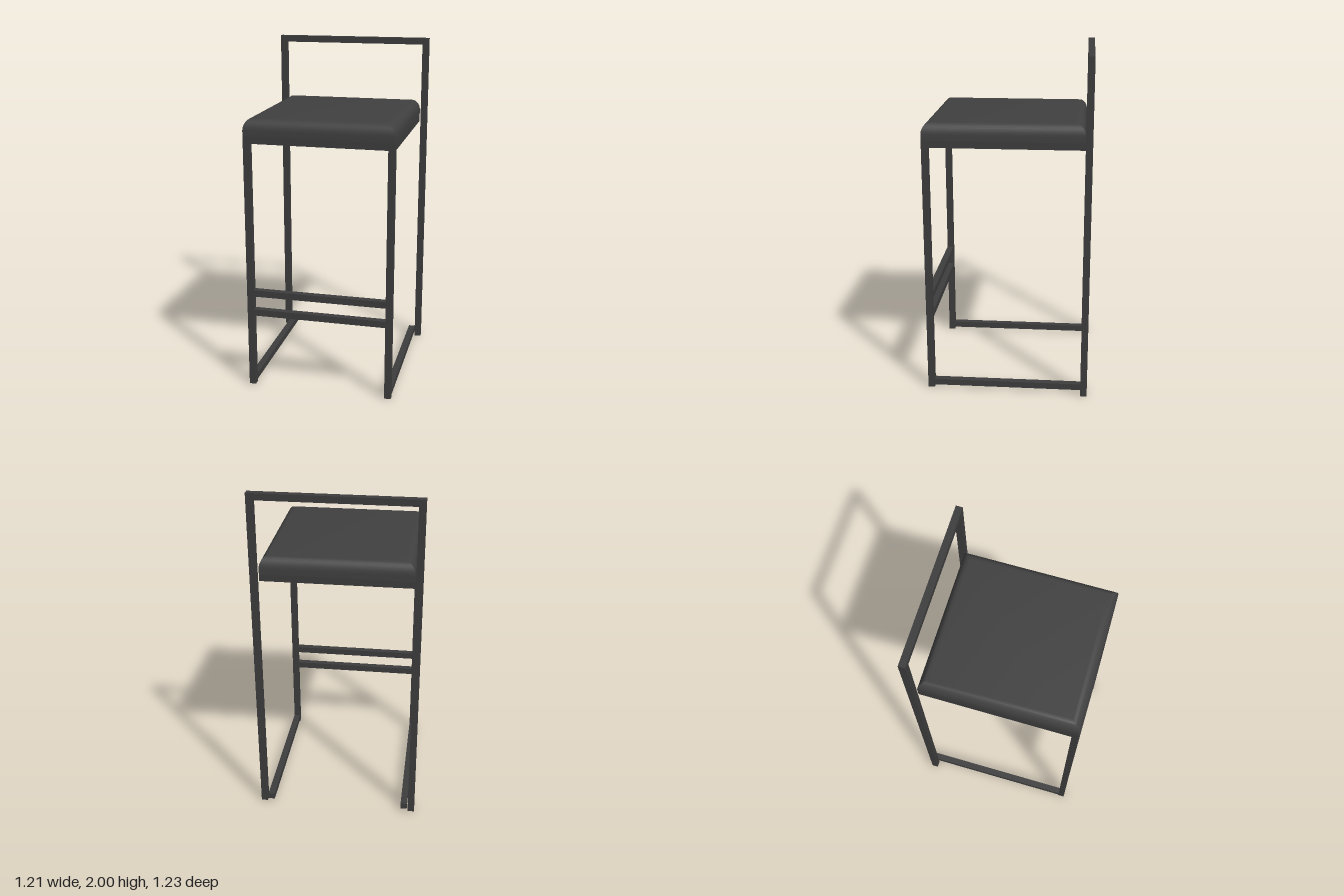
import * as THREE from 'three';
import { toCreasedNormals } from 'three/addons/utils/BufferGeometryUtils.js';

const T = 0.039;                        // bar thickness
const SEAT_X = 0.4325, FRONT = 0.488;   // seat half width, front plane
const BACK_X = 0.477, BACK = -0.467;    // back frame half width, back plane
const SEAT_BACK = BACK + T;
const RAIL_Y = 1.482, SEAT_Y = 1.522, TOP_Y = 1.624;

// Cushion: stacked rectangles that draw in along a rounded top edge
function cushionGeometry() {
  const r = 0.054, rv = 0.07, steps = 8;
  const ring = (inset, y) => [
    [-SEAT_X + inset, y, FRONT - inset], [SEAT_X - inset, y, FRONT - inset],
    [SEAT_X - inset, y, SEAT_BACK + inset], [-SEAT_X + inset, y, SEAT_BACK + inset],
  ];
  const rings = [ring(0, SEAT_Y)];
  for (let i = 0; i <= steps; i++) {
    const a = (i / steps) * Math.PI / 2;
    rings.push(ring(r * (1 - Math.cos(a)), TOP_Y - rv + rv * Math.sin(a)));
  }
  const pos = [];
  const quad = (a, b, c, d) => pos.push(...a, ...b, ...c, ...a, ...c, ...d);
  for (let i = 0; i < rings.length - 1; i++) {
    for (let k = 0; k < 4; k++) {
      const n = (k + 1) % 4;
      quad(rings[i][k], rings[i][n], rings[i + 1][n], rings[i + 1][k]);
    }
  }
  quad(...rings[rings.length - 1]);
  quad(...rings[0].slice().reverse());
  const g = new THREE.BufferGeometry();
  g.setAttribute('position', new THREE.Float32BufferAttribute(pos, 3));
  return toCreasedNormals(g, 0.6);
}

export function createModel() {
  const metal = new THREE.MeshStandardMaterial({ color: 0x3d3d3d });
  metal.name = 'charcoal metal';
  const fabric = new THREE.MeshStandardMaterial({ color: 0x404040 });
  fabric.name = 'charcoal upholstery';

  const stool = new THREE.Group();
  stool.name = 'stool';

  // Bar spanning two opposite corners
  const bar = (name, x0, x1, y0, y1, z0, z1) => {
    const m = new THREE.Mesh(new THREE.BoxGeometry(x1 - x0, y1 - y0, z1 - z0), metal);
    m.position.set((x0 + x1) / 2, (y0 + y1) / 2, (z0 + z1) / 2);
    m.name = name;
    stool.add(m);
  };
  // Bar mirrored to both sides
  const pair = (name, x0, x1, ...rest) => {
    bar(name + 'Left', x0, x1, ...rest);
    bar(name + 'Right', -x1, -x0, ...rest);
  };

  const inner = SEAT_X - T;
  pair('frontLeg', inner, SEAT_X, 0, RAIL_Y, FRONT - T, FRONT);
  pair('backPost', BACK_X - T, BACK_X, 0, 2, BACK, SEAT_BACK);
  pair('floorRunner', inner, SEAT_X, 0.016, 0.053, BACK, FRONT - T);
  pair('seatSideRail', inner, SEAT_X, RAIL_Y, SEAT_Y, SEAT_BACK, FRONT);

  bar('seatFrontRail', -inner, inner, RAIL_Y, SEAT_Y, FRONT - T, FRONT);
  bar('seatBackRail', -inner, inner, RAIL_Y, SEAT_Y, SEAT_BACK, SEAT_BACK + T);
  bar('backrestTopBar', -BACK_X + T, BACK_X - T, 2 - T, 2, BACK, SEAT_BACK);
  for (const [name, y] of [['lowerFootrest', 0.447], ['upperFootrest', 0.567]]) {
    bar(name, -inner, inner, y, y + T, FRONT - T, FRONT);
  }

  const cushion = new THREE.Mesh(cushionGeometry(), fabric);
  cushion.name = 'seatCushion';
  stool.add(cushion);

  // The stool stands turned an eighth of a half circle
  stool.rotation.y = Math.PI / 8;
  stool.position.set(0.014, 0, -0.006);

  const model = new THREE.Group();
  model.name = 'barStool';
  model.add(stool);
  return model;
}
